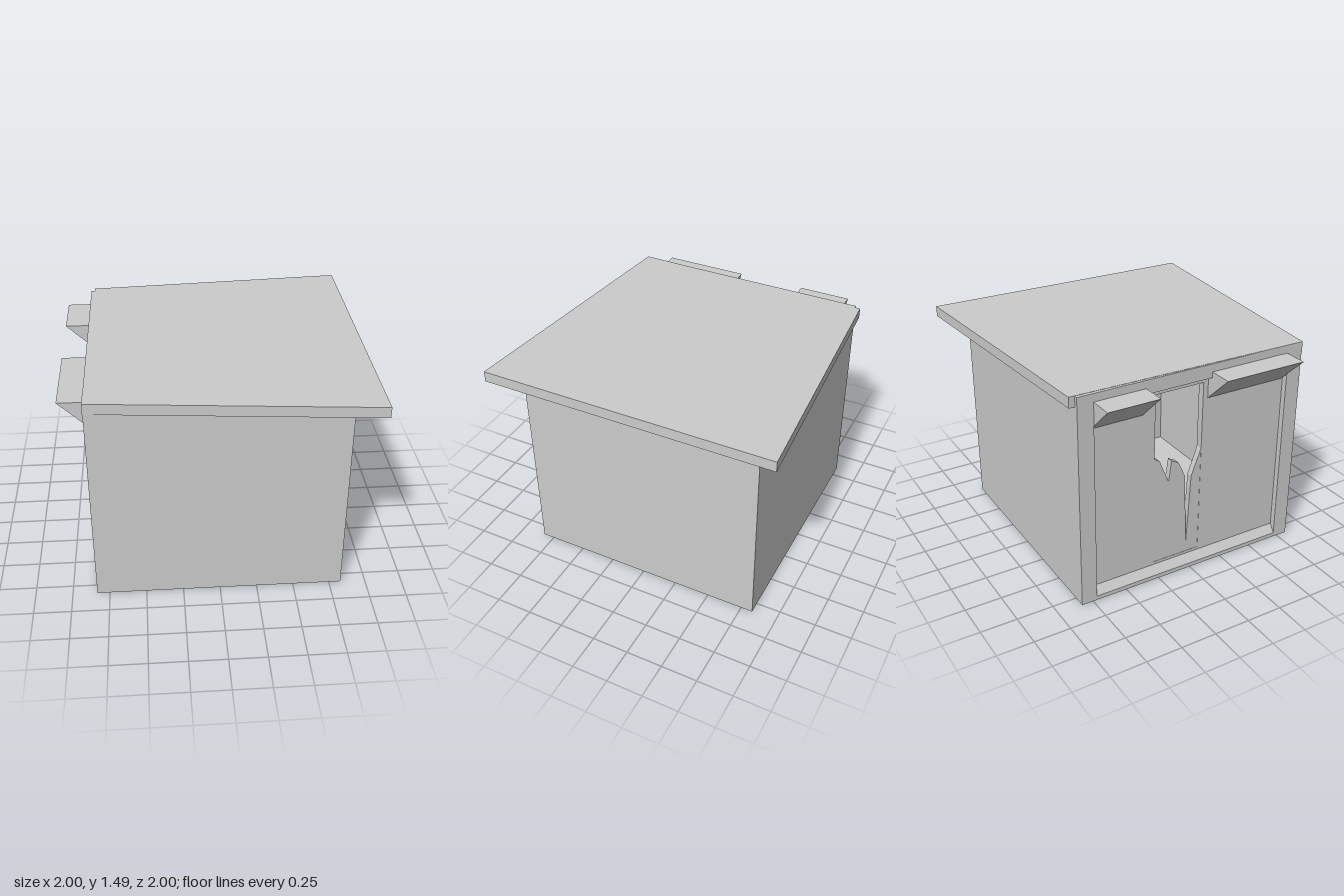
import * as THREE from 'three';

const material = new THREE.MeshStandardMaterial({ color: 0xcccccc, flatShading: true });

function shapeFrom(points) {
  return new THREE.Shape(points.map(([a, b]) => new THREE.Vector2(a, b)));
}

const rect = (a0, b0, a1, b1) => [[a0, b0], [a1, b0], [a1, b1], [a0, b1]];

export function createModel() {
  const model = new THREE.Group();

  function add(name, geometry) {
    const mesh = new THREE.Mesh(geometry, material);
    mesh.name = name;
    model.add(mesh);
    return mesh;
  }

  function box(name, x0, x1, y0, y1, z0, z1) {
    add(name, new THREE.BoxGeometry(x1 - x0, y1 - y0, z1 - z0))
      .position.set((x0 + x1) / 2, (y0 + y1) / 2, (z0 + z1) / 2);
  }

  // Outline in (z, y), given thickness between xOuter and xInner on the shop side (-x)
  function facade(name, outline, xOuter, xInner, holes = []) {
    const shape = shapeFrom(outline);
    holes.forEach((h) => shape.holes.push(shapeFrom(h)));
    const mesh = add(name, new THREE.ExtrudeGeometry(shape, { depth: xInner - xOuter, bevelEnabled: false }));
    mesh.rotation.y = -Math.PI / 2;
    mesh.position.x = xInner;
  }

  // Outline in (x, y), extruded along z
  function along(name, outline, z0, z1) {
    add(name, new THREE.ExtrudeGeometry(shapeFrom(outline), { depth: z1 - z0, bevelEnabled: false }))
      .position.z = z0;
  }

  // Hollow building: floor and three plain walls
  const W = 0.83, T = 0.05, H = 1.48;
  box('floor', -0.795, W - T, 0, 0.05, -W + T, W - T);
  box('frontWall', -0.795, W, 0, H, W - T, W);
  box('backWall', -0.795, W, 0, H, -W, -W + T);
  box('leftWall', W - T, W, 0, H, -W + T, W - T);

  // Shop side: raised border, recessed wall with doorway, sloped sill
  facade('facadeFrame', rect(-W, 0, W, 1.485), -0.835, -0.795, [rect(-0.72, 0.03, 0.72, 1.39)]);
  facade('facadeWall', rect(-W + T, 0, W - T, H), -0.795, -0.745, [rect(-0.27, 0.11, 0.085, 1.35)]);
  along('sill', [[-0.835, 0.03], [-0.795, 0.03], [-0.795, 0.09]], -0.72, 0.72);

  // Broken door with a jagged upper edge and a deep crack
  facade('brokenDoor', [
    [-0.27, 0.11], [0.085, 0.11], [0.085, 0.88], [0.015, 0.69], [-0.01, 0.19],
    [-0.035, 0.71], [-0.085, 0.82], [-0.14, 0.85], [-0.16, 0.7], [-0.23, 0.87], [-0.27, 0.9],
  ], -0.793, -0.75);

  // Wedge awnings above the shop windows
  const wedge = [[-1, 1.43], [-0.795, 1.235], [-0.795, 1.43]];
  along('backAwning', wedge, -0.72, -0.36);
  along('frontAwning', wedge, 0.12, 0.71);

  // Tapered roof slab, outline in (x, -z)
  const roof = add('roof', new THREE.ExtrudeGeometry(
    shapeFrom([[-0.838, -0.83], [1, -1], [1, 1], [-0.81, 0.87]]),
    { depth: 0.073, bevelEnabled: false }));
  roof.rotation.x = -Math.PI / 2;
  roof.position.y = 1.414;

  return model;
}
